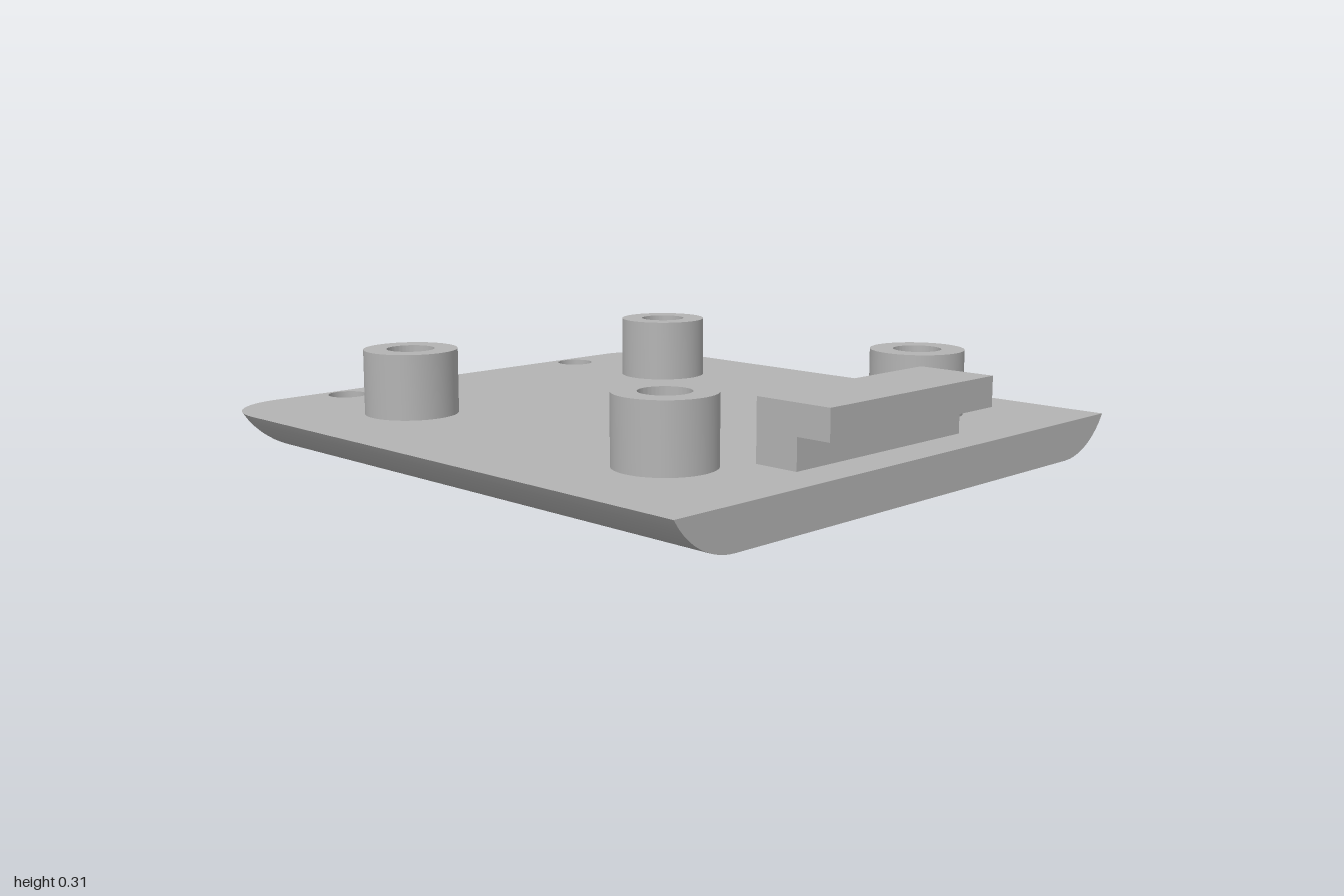
import * as THREE from 'three';
import { toCreasedNormals } from 'three/addons/utils/BufferGeometryUtils.js';

const HALF_Z = 0.938, HEIGHT = 0.117;
const CORNER = 0.21;                       // radius of the two rounded corners
const INSET = 0.207;                       // how far the underside draws in
const ARC = (INSET ** 2 + HEIGHT ** 2) / (2 * HEIGHT);
const HOLE = { s: 0.075, z: 0.502, r: 0.062 };

// Height of the curved underside at distance s in from the rim
const rimY = (s) => ARC - Math.sqrt(Math.max(0, ARC ** 2 - (INSET - s) ** 2));

// Surface through rows of points
function lattice(rows) {
  const n = rows[0].length, index = [];
  for (let k = 0; k < rows.length - 1; k++) {
    for (let j = 0; j < n - 1; j++) {
      const a = k * n + j, c = a + n;
      index.push(a, a + 1, c, a + 1, c + 1, c);
    }
  }
  const g = new THREE.BufferGeometry();
  g.setAttribute('position', new THREE.Float32BufferAttribute(rows.flat(2), 3));
  g.setIndex(index);
  g.computeVertexNormals();
  return g;
}

// Long side and its rounded corner at inset s, as [x, z] from +x round to -x
function sideLine(s) {
  const pts = [[1, HALF_Z - s]];
  for (let i = 0; i <= 16; i++) {
    const a = Math.PI / 2 * (1 + i / 16);
    pts.push([-1 + CORNER + (CORNER - s) * Math.cos(a), HALF_Z - CORNER + (CORNER - s) * Math.sin(a)]);
  }
  return pts;
}

function outline(s) {
  const half = sideLine(s);
  const all = [...half, ...half.map(([x, z]) => [x, -z]).reverse()];
  return new THREE.Shape(all.map(([x, z]) => new THREE.Vector2(x, z)));
}

function circle(x, y, r) {
  return new THREE.Path().absarc(x, y, r, 0, Math.PI * 2, true);
}

export function createModel() {
  const model = new THREE.Group();
  const grey = new THREE.MeshStandardMaterial({ color: 0xb3b3b3 });
  grey.name = 'grey plastic';
  const add = (name, geometry, parent = model) => {
    const mesh = new THREE.Mesh(geometry, grey);
    mesh.name = name;
    parent.add(mesh);
    return mesh;
  };

  const plate = new THREE.Group();
  plate.name = 'basePlate';
  model.add(plate);

  // Flat top with two through holes, and flat bottom
  const top = outline(0);
  for (const side of [1, -1]) top.holes.push(circle(-1 + HOLE.s, side * HOLE.z, HOLE.r));
  add('plateTop', new THREE.ShapeGeometry(top, 32).rotateX(-Math.PI / 2), plate).position.y = HEIGHT;
  add('plateBottom', new THREE.ShapeGeometry(outline(INSET)).rotateX(Math.PI / 2), plate);

  // Curved long sides with rounded corners
  const steps = Array.from({ length: 13 }, (_, k) => INSET * k / 12);
  const sideRows = steps.map((s) => sideLine(s).map(([x, z]) => [x, rimY(s), z]));
  add('leftRim', lattice(sideRows), plate);
  add('rightRim', lattice(sideRows.map((row) => row.map(([x, y, z]) => [x, y, -z]).reverse())), plate);

  // Curved short end, in three strips around the holes
  const cuts = [0];
  for (let i = 0; i <= 20; i++) cuts.push(HOLE.s - HOLE.r * Math.cos(Math.PI * i / 20));
  cuts.push(0.155, 0.175, 0.19, INSET);
  const halfWidth = (s) => Math.sqrt(Math.max(0, HOLE.r ** 2 - (s - HOLE.s) ** 2));
  const edge = HALF_Z - CORNER;
  const spans = [
    (w) => [edge, HOLE.z + w],
    (w) => [HOLE.z - w, -HOLE.z + w],
    (w) => [-HOLE.z - w, -edge],
  ];
  for (const span of spans) {
    add('endRim', lattice(cuts.map((s) => span(halfWidth(s)).map((z) => [-1 + s, rimY(s), z]))), plate);
  }

  // Hole walls, trimmed to the curved underside
  for (const side of [1, -1]) {
    const wall = [[], []];
    for (let i = 0; i <= 40; i++) {
      const a = -Math.PI * 2 * i / 40;
      const s = HOLE.s + HOLE.r * Math.cos(a), z = side * HOLE.z + HOLE.r * Math.sin(a);
      wall[0].push([-1 + s, HEIGHT, z]);
      wall[1].push([-1 + s, rimY(s), z]);
    }
    add('holeWall', lattice(wall), plate);
  }

  // Straight cut end
  const section = steps.map((s) => new THREE.Vector2(HALF_Z - s, rimY(s)));
  const cap = new THREE.Shape([...section, ...section.map((p) => new THREE.Vector2(-p.x, p.y)).reverse()]);
  add('plateEnd', new THREE.ShapeGeometry(cap).rotateY(Math.PI / 2), plate).position.x = 1;

  // Four hollow standoffs
  const ring = new THREE.Shape().absarc(0, 0, 0.143, 0, Math.PI * 2);
  ring.holes.push(circle(0, 0, 0.073));
  const post = toCreasedNormals(
    new THREE.ExtrudeGeometry(ring, { depth: 0.315 - HEIGHT, bevelEnabled: false, curveSegments: 40 })
      .rotateX(-Math.PI / 2), 0.6);
  for (const x of [-0.51, 0.585]) {
    for (const z of [-0.547, 0.547]) add('standoff', post, model).position.set(x, HEIGHT, z);
  }

  // Hooked catch by the cut end
  const hook = new THREE.Shape([[0.735, HEIGHT], [0.873, HEIGHT], [0.873, 0.208], [0.98, 0.208], [0.98, 0.297], [0.735, 0.297]]
    .map(([x, y]) => new THREE.Vector2(x, y)));
  add('catch', new THREE.ExtrudeGeometry(hook, { depth: 0.72, bevelEnabled: false })).position.z = -0.36;

  return model;
}
